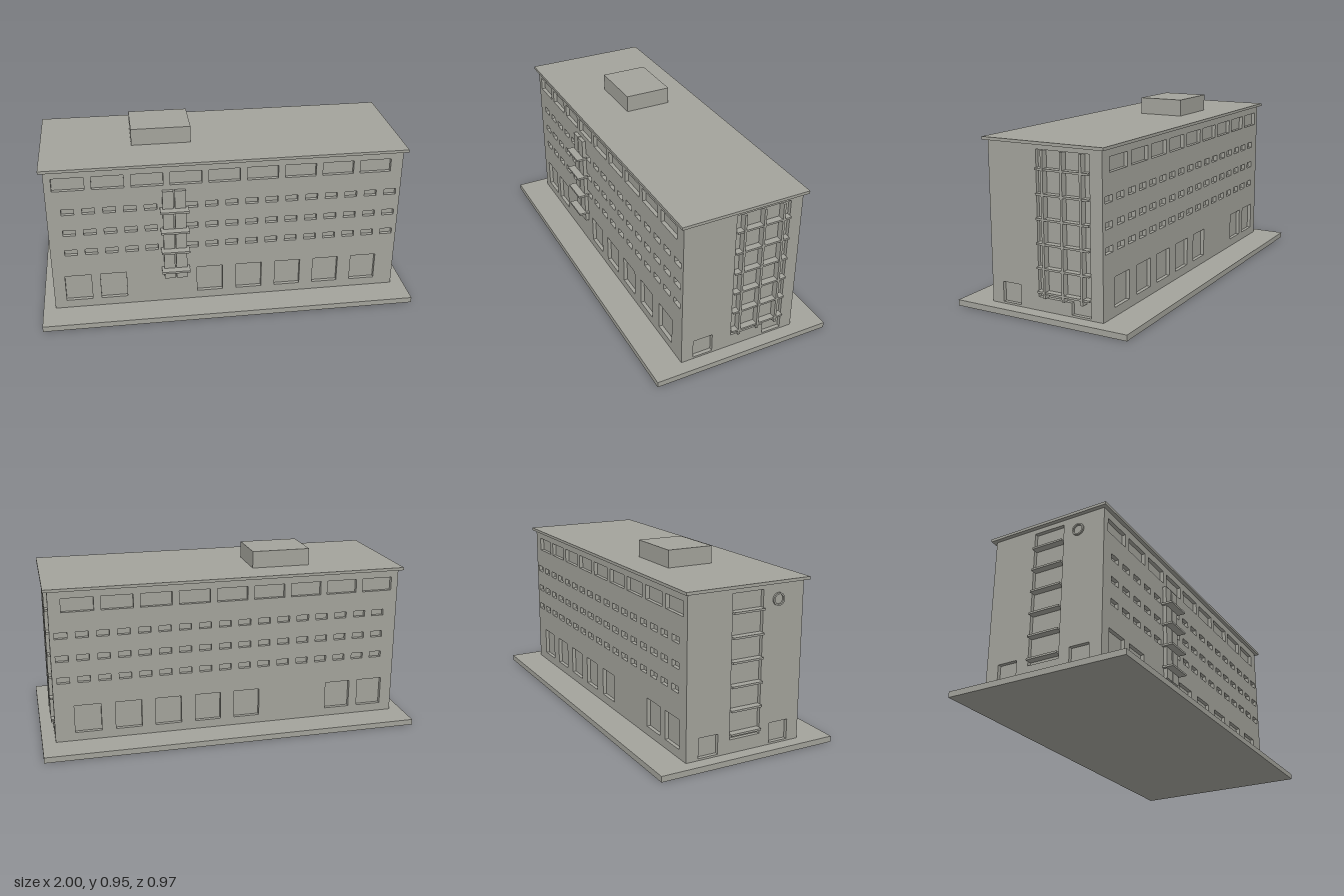
import * as THREE from 'three';

const X0 = -0.935, X1 = 0.93, Z = 0.32, Y0 = 0.03, Y1 = 0.845, D = 0.02;

export function createModel() {
  const model = new THREE.Group();
  const concrete = new THREE.MeshStandardMaterial({ color: 0xa3a39b });
  concrete.name = 'concrete';

  const add = (name, geometry) => {
    const mesh = new THREE.Mesh(geometry, concrete);
    mesh.name = name;
    model.add(mesh);
    return mesh;
  };
  // Box given by its lower and upper limits on each axis
  const block = (name, xa, xb, ya, yb, za, zb) => {
    const mesh = add(name, new THREE.BoxGeometry(xb - xa, yb - ya, zb - za));
    mesh.position.set((xa + xb) / 2, (ya + yb) / 2, (za + zb) / 2);
  };
  const rect = (a, b, c, d) => [[a, c], [b, c], [b, d], [a, d]];
  const points = (list) => list.map(([x, y]) => new THREE.Vector2(x, y));
  // Wall slab pierced by window openings
  const wall = (name, outline, holes) => {
    const shape = new THREE.Shape(points(outline));
    holes.forEach((h) => shape.holes.push(new THREE.Path(points(h))));
    return add(name, new THREE.ExtrudeGeometry(shape, { depth: D, bevelEnabled: false }));
  };

  // Ground slab, inner core, roof and roof hut
  block('groundSlab', -1, 1, 0, Y0, -0.485, 0.485);
  block('buildingCore', X0 + D, X1 - D, Y0, Y1, -Z + D, Z - D);
  block('roofSlab', -0.957, 0.952, Y1, 0.86, -0.34, 0.34);
  block('roofHut', -0.48, -0.165, 0.86, 0.95, -0.165, 0.085);

  // Front and back walls with their window rows
  const longWall = (name, z, skip) => {
    const holes = [];
    for (let i = 0; i < 9; i++) {
      const x = -0.898 + i * 0.2;
      holes.push(rect(x, x + 0.164, 0.733, 0.805));
    }
    for (const y of [0.353, 0.471, 0.594]) {
      for (let i = 0; i < 17; i++) {
        if (i === skip) continue;
        const x = -0.861 + i * 0.1064;
        holes.push(rect(x, x + 0.065, y, y + 0.033));
      }
    }
    for (const x of [-0.872, -0.685, -0.166, 0.048, 0.262, 0.474, 0.687]) {
      holes.push(rect(x, x + 0.139, 0.075, 0.226));
    }
    wall(name, rect(X0, X1, Y0, Y1), holes).position.z = z;
  };
  longWall('frontWall', Z - D, 5);
  longWall('backWall', -Z, -1);

  // End walls, drawn with the horizontal axis running towards the back
  const endWall = (name, x, holes) => {
    const mesh = wall(name, rect(-Z + D, Z - D, Y0, Y1), holes);
    mesh.rotation.y = Math.PI / 2;
    mesh.position.x = x;
  };
  const frontDoor = rect(-0.255, -0.148, 0.04, 0.143);
  const backDoor = rect(0.146, 0.253, 0.04, 0.143);
  const tallOpening = [[-0.042, 0.1], [0.146, 0.1], [0.146, 0.04], [0.253, 0.04],
    [0.253, 0.82], [-0.042, 0.82]];
  endWall('rightEndWall', X1 - D, [frontDoor, tallOpening]);
  endWall('leftEndWall', X0, [frontDoor, backDoor, rect(-0.09, 0.08, 0.1, 0.82)]);

  // Lattice on one end, ladder of ledges on the other
  for (const z of [0.0015, -0.105, -0.2105]) {
    block('latticePost', X1 - D, 0.945, 0.1, 0.82, z - 0.006, z + 0.006);
  }
  for (let i = 0; i < 6; i++) {
    const y = 0.122 + i * 0.1203;
    block('latticeRail', X1 - D, 0.944, y, y + 0.01, -0.253, 0.042);
    block('endLedge', -0.952, X0 + D, y, y + 0.01, -0.08, 0.09);
  }

  // Round ring high on the end wall
  const ring = new THREE.Shape().absarc(0, 0, 0.032, 0, Math.PI * 2);
  ring.holes.push(new THREE.Path().absarc(0, 0, 0.024, 0, Math.PI * 2));
  const ringMesh = add('wallRing', new THREE.ExtrudeGeometry(ring,
    { depth: 0.009, bevelEnabled: false, curveSegments: 12 }));
  ringMesh.rotation.y = -Math.PI / 2;
  ringMesh.position.set(X0, 0.765, 0.175);

  // Balcony stack: two tall panels crossed by platforms
  block('balconyPanel', -0.342, -0.285, 0.18, 0.705, Z, 0.34);
  block('balconyPanel', -0.278, -0.22, 0.18, 0.705, Z, 0.34);
  for (let i = 0; i < 4; i++) {
    const y = 0.233 + i * 0.12;
    block('balconyPlatform', -0.356, -0.207, y, y + 0.011, Z, 0.38);
  }
  return model;
}
